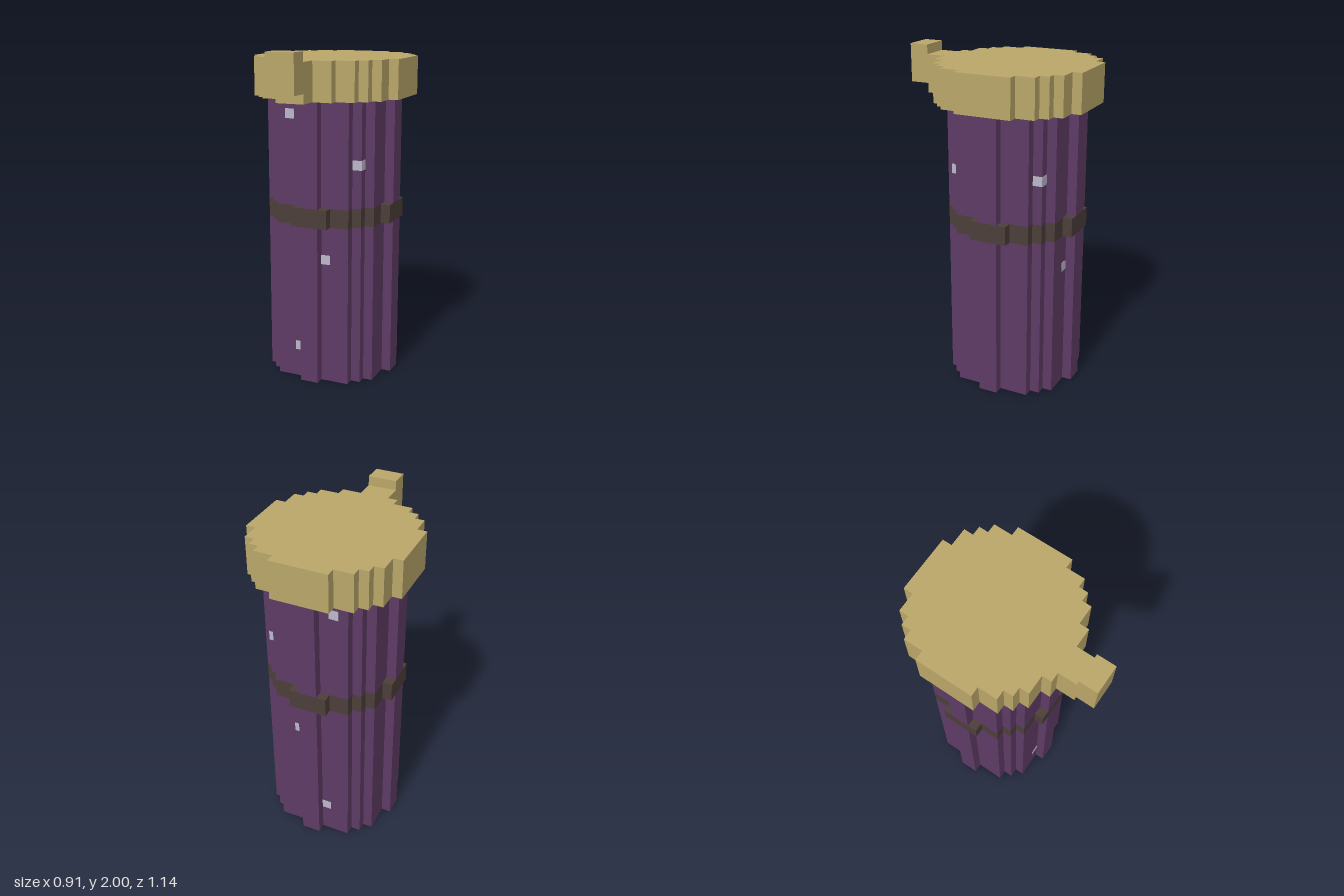
import * as THREE from 'three';

const U = 2 / 35; // one block of the grid
const CZ = -2; // z of the cylinder axis, in blocks

const material = (name, color) => {
  const m = new THREE.MeshStandardMaterial({ color });
  m.name = name;
  return m;
};

// Stepped round prism: the corners of one quadrant, turned four times
function steppedPrism(corners, y0, y1) {
  const quadrant = [];
  corners.forEach(([x, y], i) => {
    if (i > 0) quadrant.push([corners[i - 1][0], y]);
    quadrant.push([x, y]);
  });
  const points = [];
  let ring = quadrant;
  for (let q = 0; q < 4; q++) {
    ring.forEach(([x, y]) => points.push(new THREE.Vector2(x * U, y * U)));
    ring = ring.map(([x, y]) => [y, -x]);
  }
  const geometry = new THREE.ExtrudeGeometry(new THREE.Shape(points), {
    depth: (y1 - y0) * U,
    bevelEnabled: false,
  });
  geometry.rotateX(-Math.PI / 2);
  geometry.translate(0, y0 * U, CZ * U);
  return geometry;
}

// Box between two corners, in blocks
function block(x0, x1, y0, y1, z0, z1) {
  const geometry = new THREE.BoxGeometry((x1 - x0) * U, (y1 - y0) * U, (z1 - z0) * U);
  geometry.translate(((x0 + x1) / 2) * U, ((y0 + y1) / 2) * U, ((z0 + z1) / 2) * U);
  return geometry;
}

export function createModel() {
  const purple = material('purple', 0x5e3b65);
  const brown = material('dark brown', 0x4c3e39);
  const straw = material('straw', 0xb9a669);
  const pale = material('pale lilac', 0xbab7c9);

  const model = new THREE.Group();
  model.name = 'container';
  const add = (name, geometry, mat) => {
    const mesh = new THREE.Mesh(geometry, mat);
    mesh.name = name;
    model.add(mesh);
  };

  // Body, split by the band
  const bodySteps = [[1, 7], [4, 6], [5, 5], [6, 4], [7, 1]];
  add('lowerBody', steppedPrism(bodySteps, 0, 17), purple);
  add('upperBody', steppedPrism(bodySteps, 19, 30), purple);

  // Band with a raised loop on each side
  const bandSteps = [[2, 7], [4, 6], [5, 5], [6, 4], [7, 2]];
  add('band', steppedPrism(bandSteps, 17, 19), brown);

  // Lid with its front tab
  const lidSteps = [[3, 8], [5, 7], [6, 6], [7, 5], [8, 3]];
  add('lid', steppedPrism(lidSteps, 30, 34), straw);
  add('tabNeck', block(-2, 1, 30, 34, 6, 8), straw);
  add('tabEnd', block(-2, 1, 31, 35, 8, 10), straw);

  // Pale spots, the same on front and back
  const t = 0.03;
  for (const side of [1, -1]) {
    const plate = (x, y, d) => {
      const z = CZ + side * d;
      return block(x, x + 1, y, y + 1, z - t, z + t);
    };
    for (const [x, y] of [[-3, 28], [1, 13], [-2, 3]]) add('spot', plate(x, y, 6), pale);

    // Spot that wraps a corner
    add('cornerSpot', plate(4, 23, 5), pale);
    const zMid = CZ + side * 4.5;
    add('cornerSpotSide', block(5 - t, 5 + t, 23, 24, zMid - 0.5, zMid + 0.5), pale);
  }

  return model;
}
